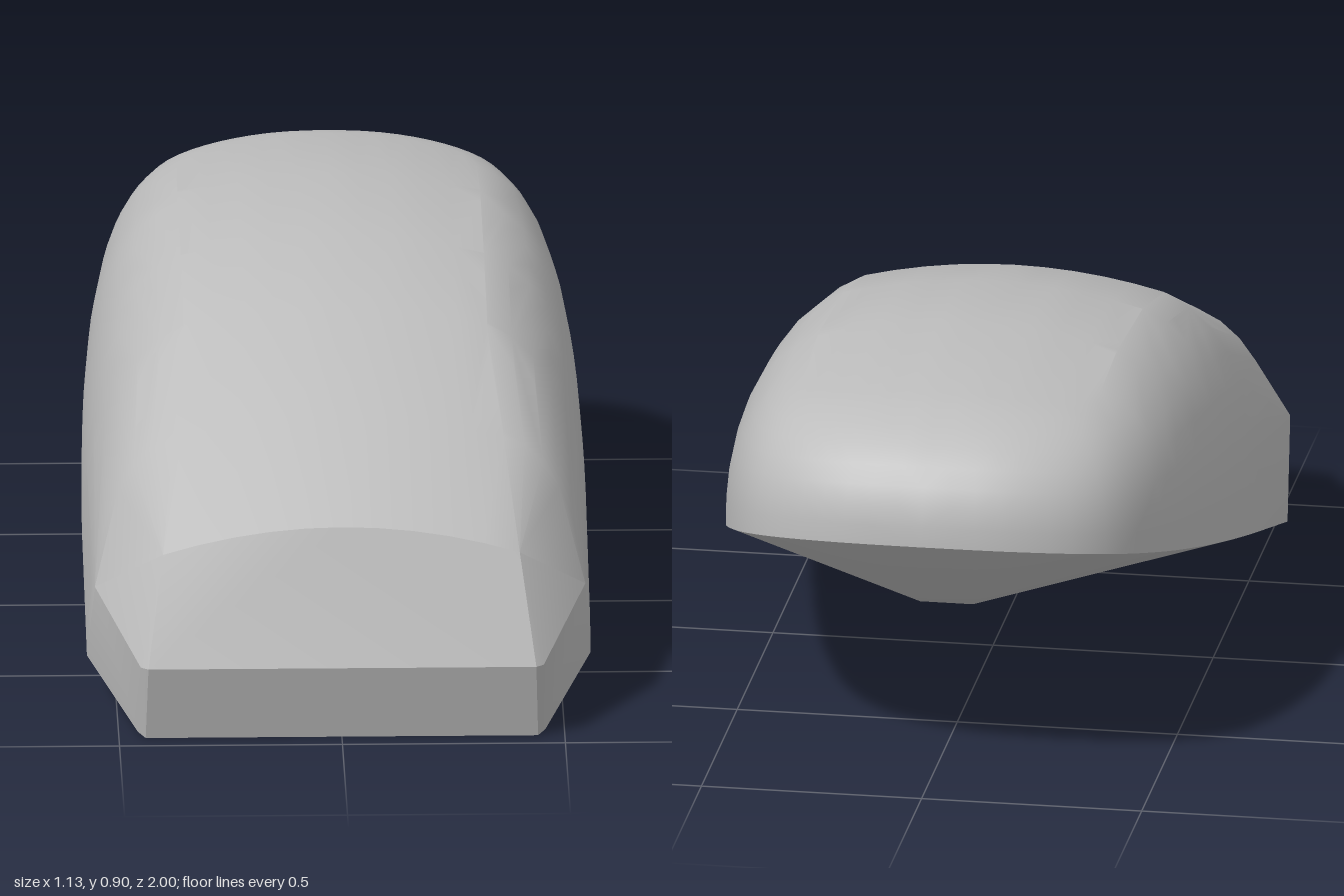
import * as THREE from 'three';
import { ConvexGeometry } from 'three/addons/geometries/ConvexGeometry.js';
import { toCreasedNormals } from 'three/addons/utils/BufferGeometryUtils.js';

// height of the sloping lower rim and of the crowned roof
const rimY = (z) => 0.292 - 0.3085 * z;
const roofProfile = [[0.9, 0.48], [0.62, 0.65], [0.3, 0.8], [0, 0.87], [-0.35, 0.9], [-0.72, 0.87]];
function roofY(z, x) {
  let i = 0;
  while (i < roofProfile.length - 2 && z < roofProfile[i + 1][0]) i++;
  const [z0, y0] = roofProfile[i], [z1, y1] = roofProfile[i + 1];
  return y0 + ((z - z0) / (z1 - z0)) * (y1 - y0) - 0.045 * (x / 0.34) ** 2;
}

// matching outlines seen from above: [x, z]
const rim = [[0.565, 0.64], [0.565, 0.4], [0.565, 0.1], [0.555, -0.2], [0.532, -0.45],
  [0.495, -0.66], [0.425, -0.83], [0.33, -0.925], [0.18, -0.985], [0, -1]];
const shoulder = [[0.37, 0.6], [0.345, 0.38], [0.34, 0.1], [0.34, -0.2], [0.337, -0.45],
  [0.33, -0.62], [0.29, -0.68], [0.21, -0.705], [0.11, -0.718], [0, -0.72]];
const curve = (pts) => new THREE.CatmullRomCurve3(pts.map(([x, z]) => new THREE.Vector3(x, 0, z)));

export function createModel() {
  const points = [];
  const add = (x, y, z) => {
    points.push(new THREE.Vector3(x, y, z));
    if (x > 1e-6) points.push(new THREE.Vector3(-x, y, z));
  };

  // rounded sides and tail, swept from the rim up to the shoulder
  const rimCurve = curve(rim), shoulderCurve = curve(shoulder);
  const stations = 27, rows = 8, sweep = THREE.MathUtils.degToRad(75);
  for (let i = 0; i <= stations; i++) {
    const a = rimCurve.getPoint(i / stations), b = shoulderCurve.getPoint(i / stations);
    a.y = rimY(a.z);
    b.y = roofY(b.z, b.x);
    for (let j = 0; j <= rows; j++) {
      const t = (j / rows) * sweep;
      const inward = ((1 - Math.cos(t)) / (1 - Math.cos(sweep))) ** 1.2;
      const up = Math.sin(t) / Math.sin(sweep);
      add(Math.max(0, a.x + (b.x - a.x) * inward), a.y + (b.y - a.y) * up, a.z + (b.z - a.z) * inward);
    }
  }

  // crowned roof bands
  for (const [z] of roofProfile.slice(0, -1)) {
    const width = z > 0.8 ? 0.4 : z > 0.5 ? 0.37 : 0.34;
    for (let k = 0; k <= 5; k++) {
      const x = (width * k) / 5;
      add(x, roofY(z, x), z);
    }
  }

  // blunt nose with small softened corners, and front cheeks
  add(0.435, 0.18, 1);
  add(0.452, 0.18, 0.985);
  add(0.44, 0, 0.945);
  add(0.457, 0.008, 0.925);
  add(0.55, 0.3, 0.77);

  // keel under the belly
  add(0.03, 0.07, 0.23);
  add(0.06, 0.34, -0.65);

  const grey = new THREE.MeshStandardMaterial({ color: 0xbcbcbc });
  grey.name = 'grey';
  const shell = new THREE.Mesh(toCreasedNormals(new ConvexGeometry(points), 0.5), grey);
  shell.name = 'shell';

  const group = new THREE.Group();
  group.name = 'roundedShell';
  group.add(shell);
  return group;
}
